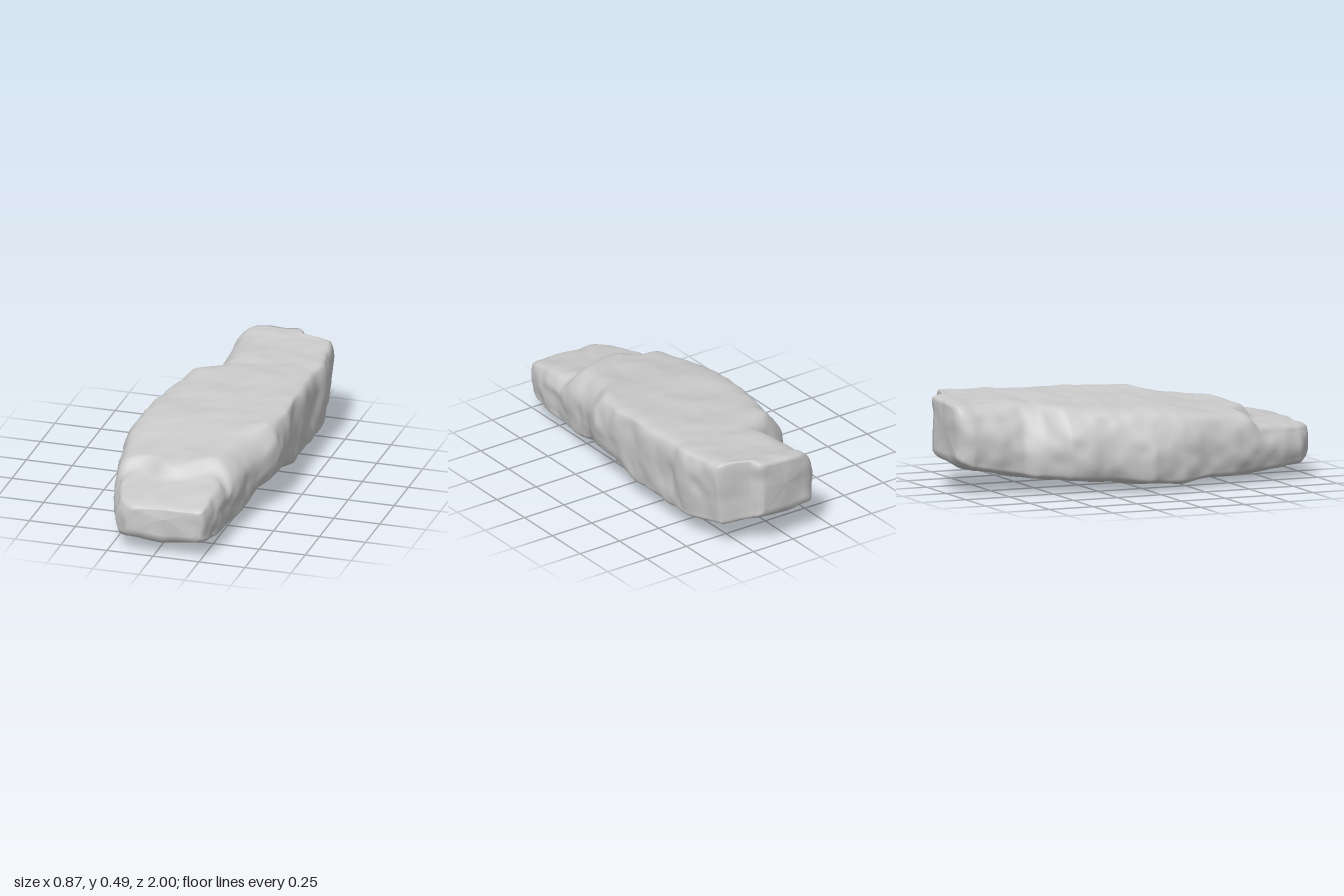
import * as THREE from 'three';

const { lerp, clamp, smoothstep } = THREE.MathUtils;

// Stations along the length:
// z, min x, max x, bottom y, top y, top inset at -x, top inset at +x, lower edge y at +x
const STATIONS = [
  [-0.99, -0.11, 0.19, 0.185, 0.48, 0.01, 0, 0.2],
  [-0.97, -0.145, 0.205, 0.16, 0.485, 0.03, 0, 0.18],
  [-0.925, -0.165, 0.22, 0.135, 0.488, 0.05, 0, 0.16],
  [-0.88, -0.17, 0.395, 0.115, 0.488, 0.055, 0.01, 0.15],
  [-0.62, -0.18, 0.43, 0.065, 0.482, 0.09, 0.01, 0.115],
  [-0.53, -0.25, 0.425, 0.055, 0.478, 0.13, 0.01, 0.11],
  [-0.43, -0.33, 0.42, 0.045, 0.475, 0.08, 0.01, 0.11],
  [-0.2, -0.365, 0.425, 0.03, 0.465, 0.05, 0.01, 0.11],
  [0, -0.425, 0.43, 0.012, 0.455, 0.09, 0.01, 0.15],
  [0.18, -0.415, 0.425, 0.003, 0.445, 0.07, 0.03, 0.175],
  [0.3, -0.39, 0.385, 0.012, 0.425, 0.05, 0.09, 0.15],
  [0.45, -0.36, 0.335, 0.025, 0.405, 0.04, 0.08, 0.09],
  [0.62, -0.315, 0.32, 0.03, 0.39, 0.04, 0.09, 0.08],
  [0.72, -0.29, 0.305, 0.04, 0.37, 0.03, 0.03, 0.085],
  [0.92, -0.225, 0.285, 0.055, 0.348, 0.01, 0.01, 0.1],
  [0.97, -0.18, 0.275, 0.075, 0.338, 0.01, 0, 0.11],
  [0.99, -0.15, 0.26, 0.105, 0.325, 0, 0, 0.13],
];

function hash(x, y, z, seed) {
  const s = Math.sin(x * 127.1 + y * 311.7 + z * 74.7 + seed * 53.3) * 43758.5453;
  return (s - Math.floor(s)) * 2 - 1;
}

// Smooth value noise in -1..1
function noise(x, y, z, seed) {
  const i = [x, y, z].map(Math.floor);
  const f = [x - i[0], y - i[1], z - i[2]].map((t) => t * t * (3 - 2 * t));
  let sum = 0;
  for (let c = 0; c < 8; c++) {
    const b = [c & 1, (c >> 1) & 1, c >> 2];
    const w = b.reduce((p, bit, k) => p * (bit ? f[k] : 1 - f[k]), 1);
    sum += w * hash(i[0] + b[0], i[1] + b[1], i[2] + b[2], seed);
  }
  return sum;
}

// Section outline at z, clockwise seen from the front
function sectionAt(z, sides) {
  let k = 0;
  while (k < STATIONS.length - 2 && STATIONS[k + 1][0] < z) k++;
  const a = STATIONS[k], b = STATIONS[k + 1];
  const t = (z - a[0]) / (b[0] - a[0]);
  const [, x0, x1, y0, y1, insetL, insetR, lowR] = a.map((v, n) => lerp(v, b[n], t));
  const w = x1 - x0;
  const lowL = y0 + 0.05 * w;
  const topL = y1 - 0.06 * w, shoulderL = topL - 0.03 - insetL * 0.6;
  const shoulderR = y1 - 0.025 - insetR * 0.9;
  const left = x0 + insetL + 0.02, right = x1 - insetR - 0.012;
  const points = [
    [x0 + 0.04 * w, lowL], [x0 + 0.015 * w, lowL + 0.035], [x0, lerp(lowL, shoulderL, 0.5)],
    [x0 + 0.02 * w + insetL * 0.3, shoulderL], [left, topL],
    [lerp(left, right, 0.33), lerp(topL, y1, 0.6)], [lerp(left, right, 0.67), y1 - 0.003], [right, y1],
    [x1 - 0.003, shoulderR], [x1, lerp(lowR, shoulderR, 0.5)],
    [x1 - 0.008, lowR + 0.03], [x1 - 0.03 * w, lowR - 0.005],
    [x0 + 0.75 * w, lerp(y0, lowR, 0.42)], [x0 + 0.48 * w, y0], [x0 + 0.25 * w, lerp(y0, lowL, 0.45)],
  ].map(([x, y]) => new THREE.Vector3(x, y, 0));
  const curve = new THREE.CatmullRomCurve3(points, true, 'centripetal');
  const center = new THREE.Vector3((x0 + x1) / 2, (y0 + y1) / 2, 0);
  return { center, outline: Array.from({ length: sides }, (_, j) => curve.getPoint(j / sides)) };
}

function buildStone() {
  const SIDES = 90, LENGTHS = 120;

  // Rings: shrinking cap, body, shrinking cap
  const rings = [];
  const caps = [0, 0.3, 0.6, 0.85];
  for (const s of caps) rings.push([-0.99, s]);
  for (let i = 0; i <= LENGTHS; i++) rings.push([-0.99 + (1.98 * i) / LENGTHS, 1]);
  for (const s of [...caps].reverse()) rings.push([0.99, s]);

  const positions = [], index = [];
  rings.forEach(([z, scale]) => {
    const { center, outline } = sectionAt(z, SIDES);
    for (const p of outline) {
      // Scalloped step down to the lower front ledge
      const edge = 0.65 + 0.045 * Math.cos(p.x * 15);
      p.y -= 0.05 * smoothstep(z, edge - 0.035, edge + 0.035) * smoothstep(p.y, 0.18, 0.33);
      const { x, y } = p.sub(center).multiplyScalar(scale).add(center);
      const end = z + Math.sign(z) * 0.008 * (1 - scale);
      // Broad lumps and finer chips, on a turned lattice
      const u = x + 0.5 * z, v = z - 0.5 * x;
      const shift = (seed, amp) => amp * noise(u * 6, y * 7, v * 6, seed)
        + amp * 0.5 * noise(u * 14, y * 15 + u * 3, v * 14, seed + 4);
      positions.push(
        x + shift(1, 0.014),
        Math.max(0, y + shift(2, 0.008)),
        clamp(end + shift(3, 0.01), -1, 1));
    }
  });
  for (let r = 0; r < rings.length - 1; r++) {
    for (let s = 0; s < SIDES; s++) {
      const n = (s + 1) % SIDES;
      const a = r * SIDES + s, b = r * SIDES + n, c = a + SIDES, d = b + SIDES;
      if (rings[r][1] > 0) index.push(a, c, b);
      if (rings[r + 1][1] > 0) index.push(b, c, d);
    }
  }
  const geometry = new THREE.BufferGeometry();
  geometry.setAttribute('position', new THREE.Float32BufferAttribute(positions, 3));
  geometry.setIndex(index);
  geometry.computeVertexNormals();
  return geometry;
}

export function createModel() {
  const group = new THREE.Group();
  group.name = 'rock';
  const stone = new THREE.Mesh(buildStone(), new THREE.MeshStandardMaterial({ color: 0xcccccc, roughness: 0.9 }));
  stone.name = 'stoneSlab';
  group.add(stone);
  return group;
}
